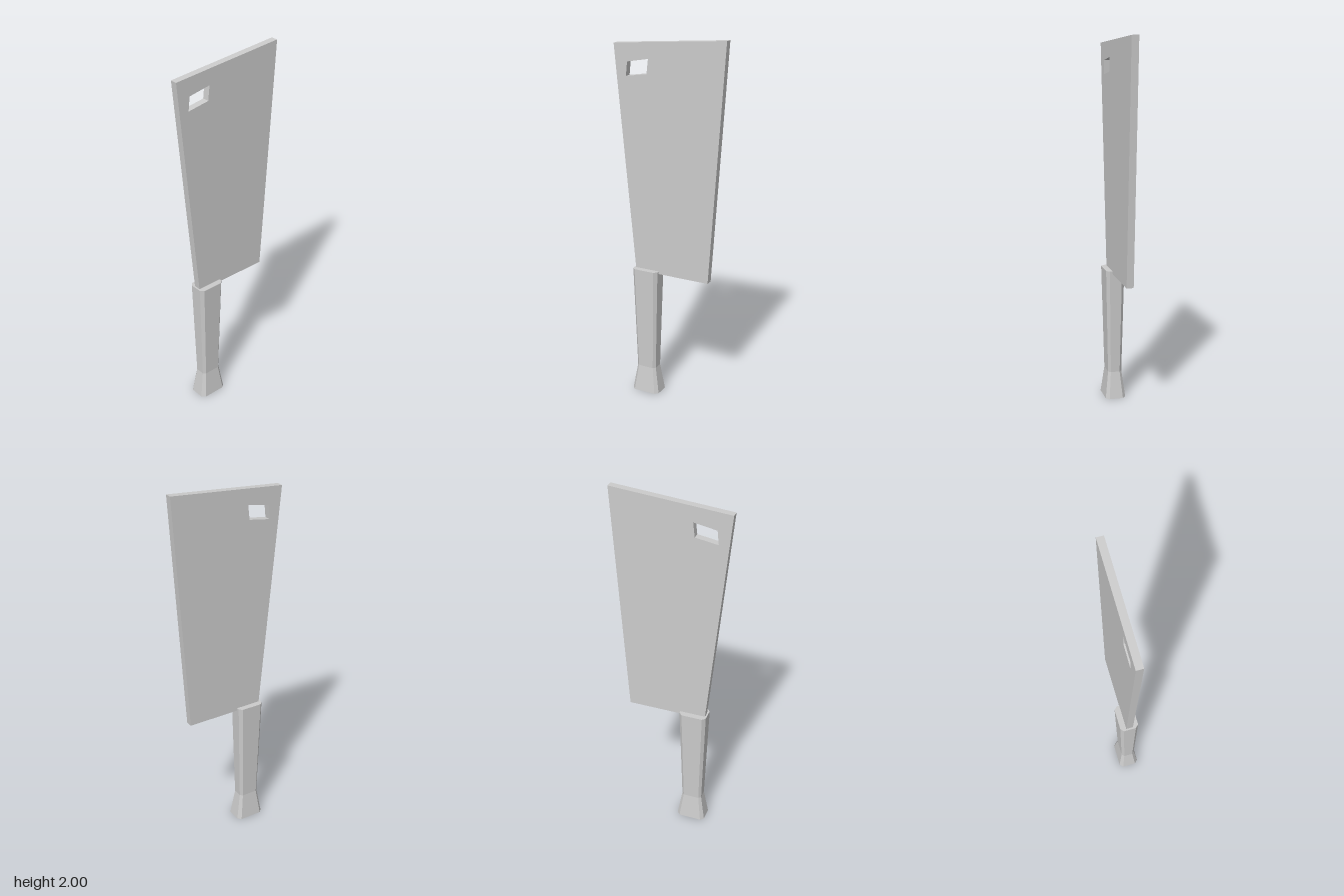
import * as THREE from 'three';

const material = new THREE.MeshStandardMaterial({ color: 0xcccccc, flatShading: true });
const BLADE_THICKNESS = 0.038;
const HANDLE_Z = 0.136;

// Rectangle with chamfered corners, counterclockwise seen from above
function chamferedRing({ y, hx, hz, c }) {
  return [
    [-hx + c, hz], [hx - c, hz], [hx, hz - c], [hx, -hz + c],
    [hx - c, -hz], [-hx + c, -hz], [-hx, -hz + c], [-hx, hz - c],
  ].map(([x, z]) => [x, y, z]);
}

// Closed solid through a stack of rings, with flat caps
function loft(rings) {
  const n = rings[0].length;
  const bottom = rings[0];
  const top = rings[rings.length - 1];
  const positions = [];
  const tri = (...corners) => corners.forEach((p) => positions.push(...p));
  for (let i = 0; i < rings.length - 1; i++) {
    for (let j = 0; j < n; j++) {
      const k = (j + 1) % n;
      tri(rings[i][j], rings[i][k], rings[i + 1][k]);
      tri(rings[i][j], rings[i + 1][k], rings[i + 1][j]);
    }
  }
  for (let j = 1; j < n - 1; j++) {
    tri(top[0], top[j], top[j + 1]);
    tri(bottom[0], bottom[j + 1], bottom[j]);
  }
  const geometry = new THREE.BufferGeometry();
  geometry.setAttribute('position', new THREE.Float32BufferAttribute(positions, 3));
  geometry.computeVertexNormals();
  return geometry;
}

const points = (list) => list.map(([z, y]) => new THREE.Vector2(z, y));

// Flaring slab with a hanging hole, profile drawn in (z, y)
function createBlade() {
  const shape = new THREE.Shape(points([[0.2, 0.72], [-0.232, 0.72], [-0.318, 2.0], [0.318, 1.948]]));
  shape.holes.push(new THREE.Path(points([[0.24, 1.858], [0.118, 1.88], [0.127, 1.802], [0.248, 1.783]])));
  const geometry = new THREE.ExtrudeGeometry(shape, { depth: BLADE_THICKNESS, bevelEnabled: false });
  geometry.translate(0, 0, -BLADE_THICKNESS / 2);
  geometry.rotateY(-Math.PI / 2);
  const blade = new THREE.Mesh(geometry, material);
  blade.name = 'blade';
  return blade;
}

// Grip narrowing to a waist above a flared butt
function createHandle() {
  const rings = [
    { y: 0, hx: 0.056, hz: 0.081, c: 0.018 },
    { y: 0.15, hx: 0.038, hz: 0.057, c: 0.013 },
    { y: 0.735, hx: 0.051, hz: 0.075, c: 0.017 },
  ].map(chamferedRing);
  const handle = new THREE.Mesh(loft(rings), material);
  handle.name = 'handle';
  handle.position.z = HANDLE_Z;
  return handle;
}

export function createModel() {
  const model = new THREE.Group();
  model.name = 'cleaver';
  model.add(createBlade(), createHandle());
  return model;
}
